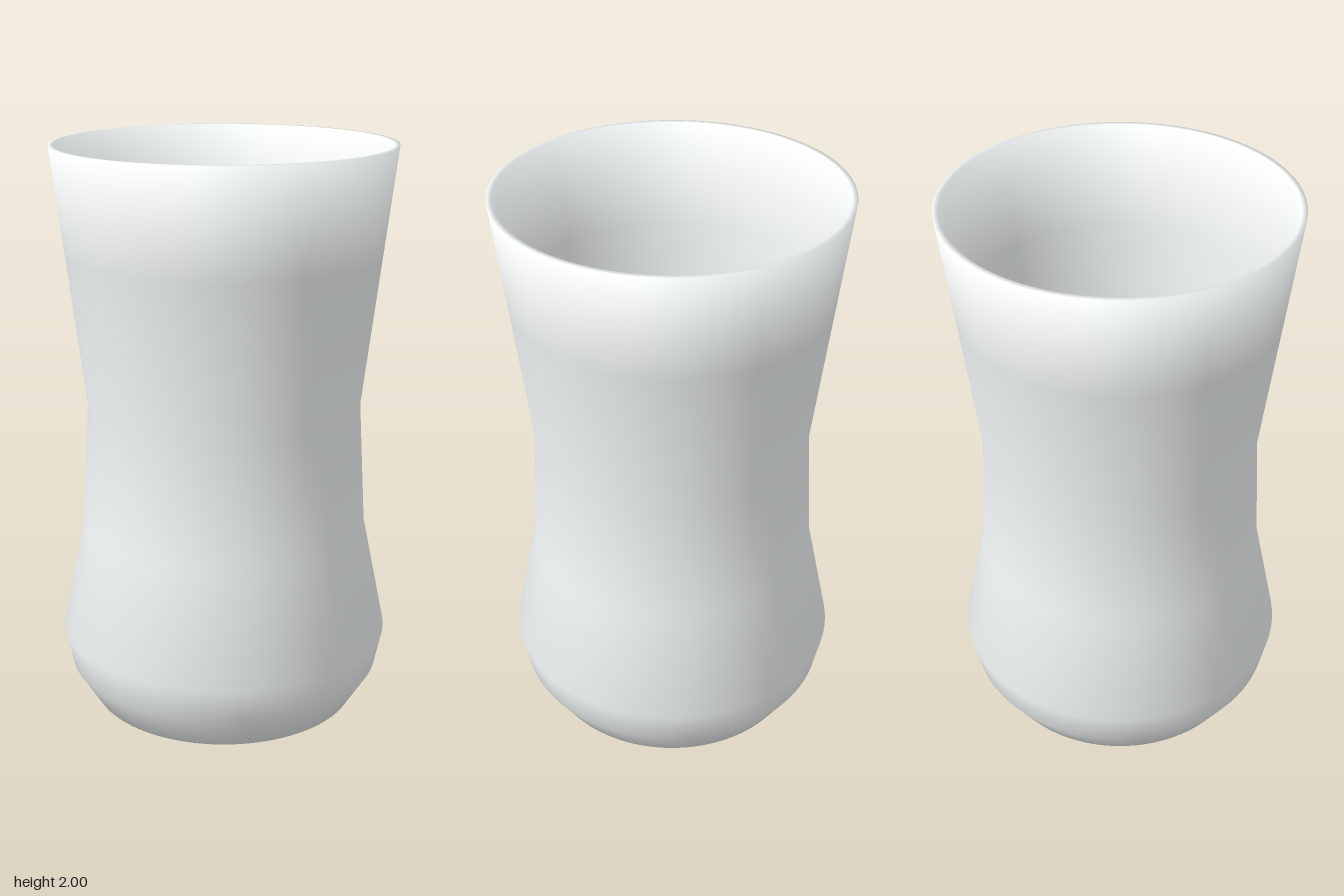
import * as THREE from 'three';

// Lathe whose normals blend neighbouring profile segments equally, softening rim and base
function softLathe(profile, segments) {
  const geometry = new THREE.LatheGeometry(profile, segments);
  const slopes = profile.slice(1).map((p, i) => {
    const d = p.clone().sub(profile[i]);
    return new THREE.Vector2(d.y, -d.x).normalize();
  });
  const normals = profile.map((_, j) =>
    (slopes[j - 1] ?? slopes[j]).clone().add(slopes[j] ?? slopes[j - 1]).normalize());
  for (let i = 0; i <= segments; i++) {
    const angle = (i / segments) * Math.PI * 2;
    normals.forEach((n, j) => geometry.attributes.normal.setXYZ(
      i * profile.length + j, n.x * Math.sin(angle), n.y, n.x * Math.cos(angle)));
  }
  return geometry;
}

export function createModel() {
  const group = new THREE.Group();
  const material = new THREE.MeshStandardMaterial({ color: 0xf3f7f7 });

  // Closed wall profile [radius, height]: underside, outer wall, rim, inner wall, floor
  const outer = [[0, 0], [0.48, 0], [0.56, 0.13], [0.587, 0.26], [0.505, 0.66], [0.48, 1.1], [0.543, 1.63], [0.587, 2]];
  const inner = [[0.569, 2], [0.525, 1.63], [0.463, 1.1], [0.488, 0.66], [0.568, 0.26], [0.543, 0.136], [0.472, 0.02], [0, 0.02]];
  const profile = [...outer, ...inner].map(([r, y]) => new THREE.Vector2(r, y));

  // Waisted drinking glass, open at the top
  const tumbler = new THREE.Mesh(softLathe(profile, 96), material);
  tumbler.name = 'tumbler';
  group.add(tumbler);

  return group;
}
